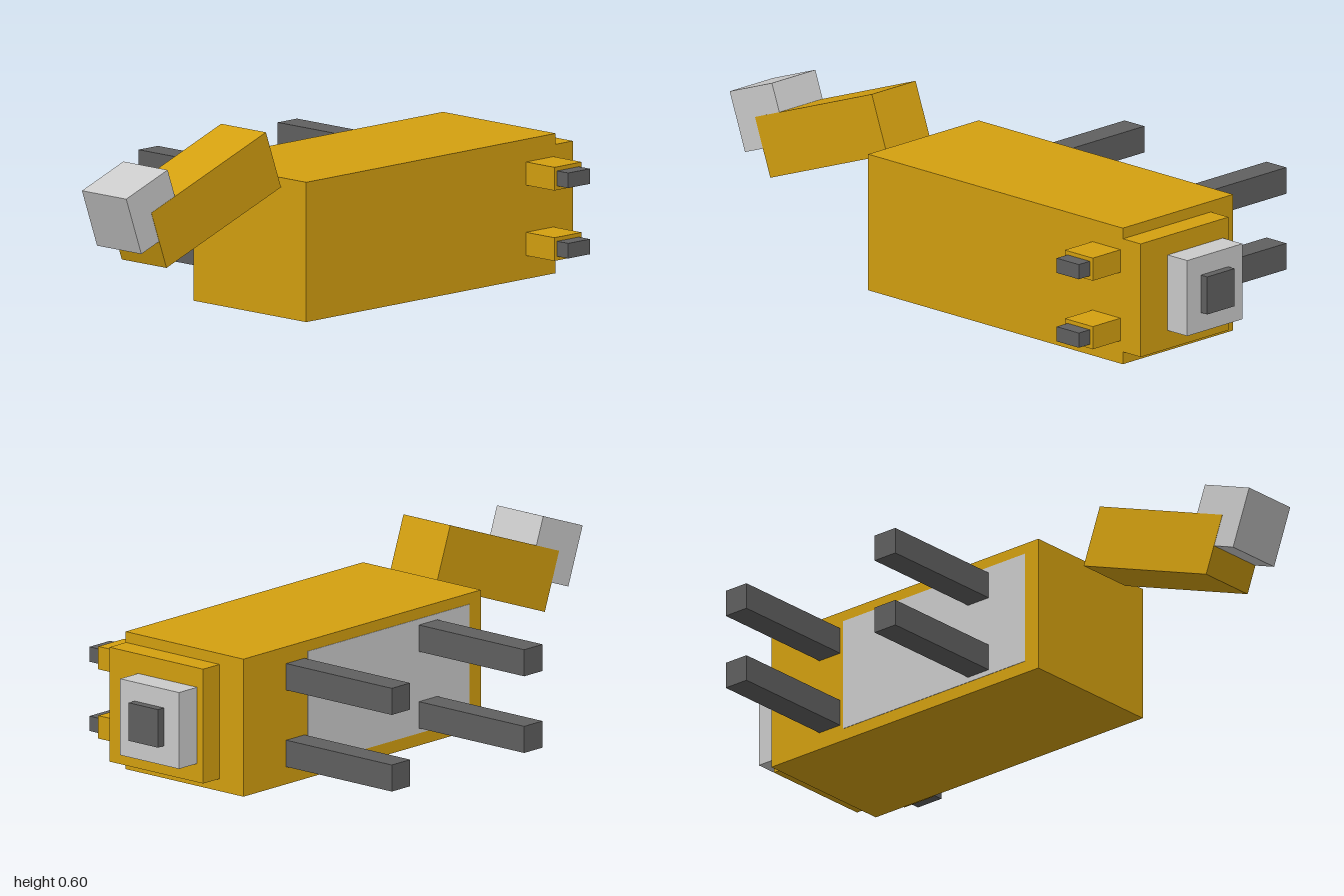
import * as THREE from 'three';

const gold = new THREE.MeshStandardMaterial({ color: 0xd4a010 });
const pale = new THREE.MeshStandardMaterial({ color: 0xcccccc });
const dark = new THREE.MeshStandardMaterial({ color: 0x606060 });

// Box given by its [min, max] range on each axis
function block(name, material, x, y, z) {
  const size = [x, y, z].map(([a, b]) => b - a);
  const mesh = new THREE.Mesh(new THREE.BoxGeometry(...size), material);
  mesh.position.set(...[x, y, z].map(([a, b]) => (a + b) / 2));
  mesh.name = name;
  return mesh;
}

export function createModel() {
  const model = new THREE.Group();
  model.name = 'animalLyingOnSide';

  // Body with a pale belly panel facing the legs
  model.add(block('body', gold, [-0.3, 0.81], [0, 0.445], [-0.112, 0.382]));
  model.add(block('belly', pale, [-0.245, 0.51], [0.04, 0.41], [-0.1135, -0.09]));

  // Head, snout and nose
  model.add(block('head', gold, [0.7, 0.887], [0.04, 0.41], [-0.012, 0.381]));
  model.add(block('snout', pale, [0.88, 0.972], [0.1, 0.347], [0.013, 0.26]));
  model.add(block('nose', dark, [0.96, 1], [0.163, 0.286], [0.076, 0.199]));

  // Ears and legs come in pairs, mirrored about the body's mid-height
  const mid = 0.2235;
  for (const side of [-1, 1]) {
    const ear = new THREE.Group();
    ear.name = side < 0 ? 'lowerEar' : 'upperEar';
    const cy = mid + side * 0.112;
    ear.add(block('earBase', gold, [0.678, 0.8], [cy - 0.037, cy + 0.037], [0.37, 0.506]));
    ear.add(block('earTip', dark, [0.69, 0.787], [cy - 0.024, cy + 0.024], [0.5, 0.555]));
    model.add(ear);

    const ly = mid + side * 0.124;
    for (const [name, lx] of [['frontLeg', 0.567], ['hindLeg', -0.052]]) {
      model.add(block(name, dark, [lx - 0.043, lx + 0.043], [ly - 0.043, ly + 0.043], [-0.555, -0.1]));
    }
  }

  // Tilted tail with an offset pale tip
  const tail = new THREE.Group();
  tail.name = 'tail';
  tail.add(block('tailBase', gold, [-0.271, 0.271], [-0.098, 0.098], [-0.098, 0.098]));
  tail.add(block('tailTip', pale, [-0.355, -0.159], [-0.004, 0.192], [-0.097, 0.097]));
  tail.position.set(-0.601, 0.417, 0.186);
  tail.rotation.z = THREE.MathUtils.degToRad(20);
  model.add(tail);

  return model;
}
